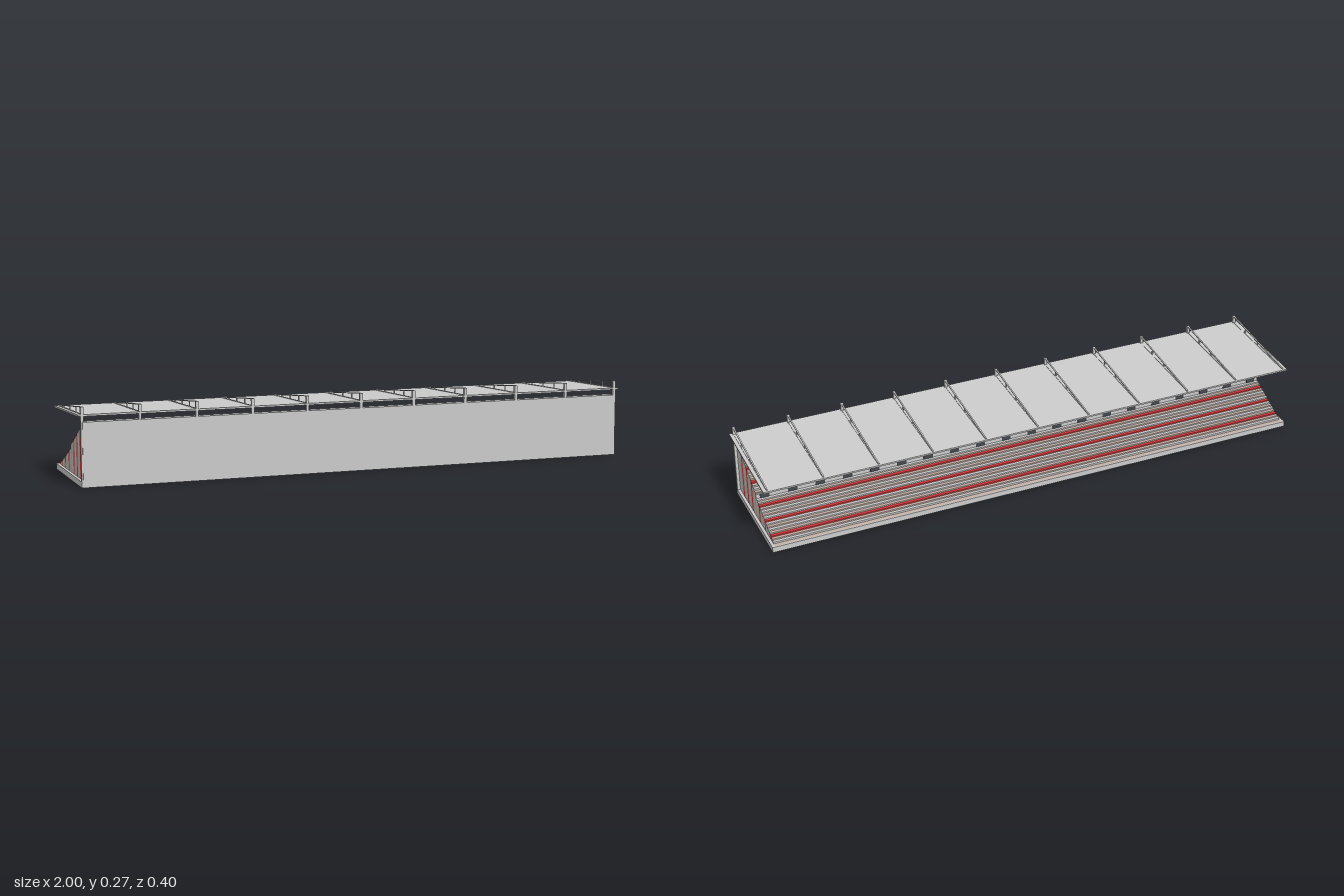
import * as THREE from 'three';

const grey = new THREE.MeshStandardMaterial({ color: 0xcccccc, flatShading: true });
const red = new THREE.MeshStandardMaterial({ color: 0xd93a3e, flatShading: true });
const tan = new THREE.MeshStandardMaterial({ color: 0xc6b2a8, flatShading: true });
const dark = new THREE.MeshStandardMaterial({ color: 0x44484c, flatShading: true });

// Box given by its minimum and maximum corners
function box(parent, name, [x0, y0, z0], [x1, y1, z1], material = grey) {
  const mesh = new THREE.Mesh(new THREE.BoxGeometry(x1 - x0, y1 - y0, z1 - z0), material);
  mesh.position.set((x0 + x1) / 2, (y0 + y1) / 2, (z0 + z1) / 2);
  mesh.name = name;
  parent.add(mesh);
  return mesh;
}

// Beam in a plane of constant x, from (z0, y0) to (z1, y1)
function beam(parent, name, x, [z0, y0], [z1, y1], width, height) {
  const length = Math.hypot(z1 - z0, y1 - y0);
  const mesh = new THREE.Mesh(new THREE.BoxGeometry(width, height, length), grey);
  mesh.position.set(x, (y0 + y1) / 2, (z0 + z1) / 2);
  mesh.rotation.x = -Math.atan2(y1 - y0, z1 - z0);
  mesh.name = name;
  parent.add(mesh);
}

// One tier of stepped rows, going down towards -z
function tier(name, count, zStart, depth, yStart, rise, redEvery) {
  const group = new THREE.Group();
  group.name = name;
  for (let i = 0; i < count; i++) {
    const z = zStart - i * depth;
    const k = i % redEvery;
    const material = k === 2 ? red : i % 2 ? tan : grey;
    box(group, 'seatRow', [-0.98, 0.02, z - depth], [0.98, yStart - i * rise, z], material);
  }
  return group;
}

export function createModel() {
  const model = new THREE.Group();
  model.name = 'grandstand';

  // Hollow base: end plinths and the kerb along the lowest row
  for (const s of [-1, 1]) {
    box(model, 'endPlinth', [s * 0.985 - 0.005, 0, -0.2], [s * 0.985 + 0.005, 0.02, 0.2]);
  }
  box(model, 'kerb', [-0.98, 0, -0.2], [0.98, 0.02, -0.195]);
  box(model, 'kerbWalkway', [-0.98, 0.015, -0.195], [0.98, 0.02, -0.179], tan);

  // Outer wall and top gangway
  box(model, 'outerWall', [-0.985, 0, 0.196], [0.985, 0.22, 0.2]);
  box(model, 'topGangway', [-0.98, 0.02, 0.17], [0.98, 0.22, 0.196]);

  // Seating
  model.add(tier('upperTier', 14, 0.17, 0.18 / 14.6, 0.205, 0.0066, 4));
  box(model, 'middleGangway', [-0.98, 0.02, -0.009], [0.98, 0.115, -0.0025]);
  model.add(tier('lowerTier', 15, -0.009, 0.0114, 0.098, 0.0051, 5));

  // Entrances in the riser between the tiers
  const entrances = new THREE.Group();
  entrances.name = 'entrances';
  for (let i = 0; i < 20; i++) {
    const x = -0.95 + i * 0.1;
    box(entrances, 'entrance', [x - 0.017, 0.098, -0.0105], [x + 0.017, 0.114, -0.008], dark);
  }
  model.add(entrances);

  // Sloping roof plate
  const roof = new THREE.Group();
  roof.name = 'roof';
  beam(roof, 'roofPlate', 0, [-0.175, 0.2245], [0.2, 0.2425], 2, 0.006);
  model.add(roof);

  // Posts with the trusses that hold the roof
  const topY = z => 0.23 + (z + 0.168) / 0.358 * 0.04;
  const lowY = z => 0.2285 + (z + 0.168) / 0.358 * 0.0165;
  for (let i = 0; i < 11; i++) {
    const x = -0.985 + i * 0.197 * 5 / 6 * 1.2;
    const frame = new THREE.Group();
    frame.name = 'roofFrame';
    box(frame, 'post', [x - 0.005, 0.018, 0.188], [x + 0.005, 0.271, 0.198]);
    beam(frame, 'topChord', x, [-0.168, topY(-0.168)], [0.19, topY(0.19)], 0.005, 0.003);
    beam(frame, 'lowerChord', x, [-0.168, lowY(-0.168)], [0.19, lowY(0.19)], 0.005, 0.003);
    for (const z of [0.104, 0.013, -0.08]) {
      box(frame, 'strut', [x - 0.002, lowY(z), z - 0.0015], [x + 0.002, topY(z), z + 0.0015]);
    }
    model.add(frame);
  }
  return model;
}
